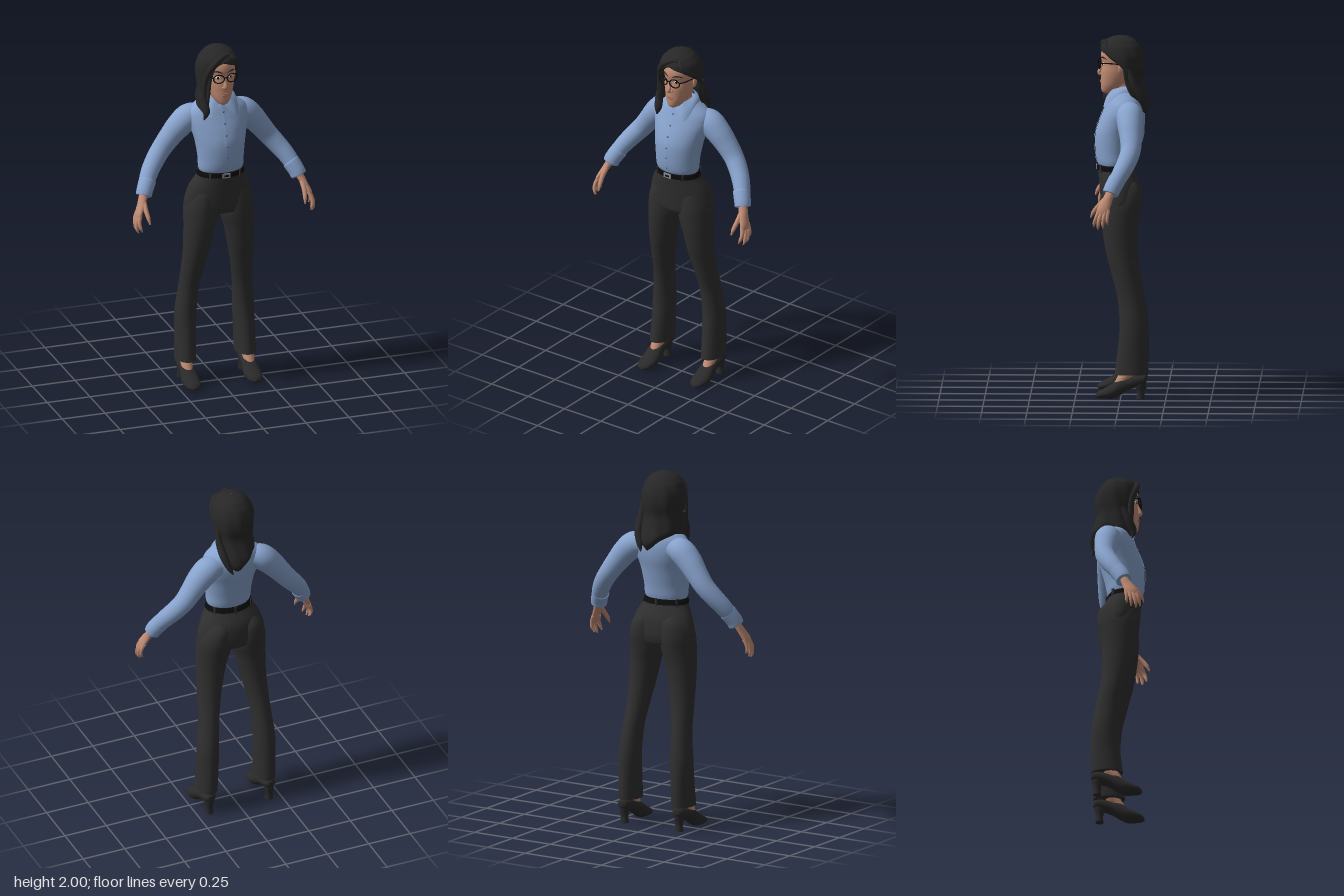
import * as THREE from 'three';

const V = (x, y, z) => new THREE.Vector3(x, y, z);
const mat = (name, color, side = THREE.FrontSide) =>
  Object.assign(new THREE.MeshStandardMaterial({ color, side }), { name });

// Catmull-Rom through table rows, t in 0..1
function sample(rows, t) {
  const n = rows.length - 1, i = Math.min(Math.floor(t * n), n - 1), f = t * n - i;
  const [a, b, c, d] = [-1, 0, 1, 2].map(k => rows[Math.min(n, Math.max(0, i + k))]);
  return b.map((p, k) => p + 0.5 * f * (c[k] - a[k] + f * (2 * a[k] - 5 * p + 4 * c[k] - d[k]
    + f * (3 * (p - c[k]) + d[k] - a[k]))));
}
// Table row for a key held in the first column (ascending)
function at(rows, key) {
  const n = rows.length - 1;
  let i = 0;
  while (i < n - 1 && rows[i + 1][0] < key) i++;
  const f = (key - rows[i][0]) / (rows[i + 1][0] - rows[i][0]);
  return sample(rows, Math.min(1, Math.max(0, (i + f) / n)));
}
// Grid surface from f(u, v); closed in u on request, with flat end caps
function grid(f, nu, nv, closed = true, caps = closed) {
  const pos = [], idx = [], w = closed ? nu : nu + 1;
  for (let j = 0; j <= nv; j++) for (let i = 0; i < w; i++) pos.push(...f(i / nu, j / nv).toArray());
  for (let j = 0; j < nv; j++) for (let i = 0; i < nu; i++) {
    const a = j * w + i, b = j * w + (i + 1) % w;
    idx.push(a, b, b + w, a, b + w, a + w);
  }
  if (caps) for (const v of [0, 1]) {
    const base = pos.length / 3, c = V(0, 0, 0);
    for (let i = 0; i < nu; i++) { const p = f(i / nu, v); c.addScaledVector(p, 1 / nu); pos.push(...p.toArray()); }
    pos.push(...c.toArray());
    for (let i = 0; i < nu; i++) {
      const a = base + i, b = base + (i + 1) % nu;
      v ? idx.push(a, b, base + nu) : idx.push(b, a, base + nu);
    }
  }
  const g = new THREE.BufferGeometry();
  g.setAttribute('position', new THREE.Float32BufferAttribute(pos, 3));
  g.setIndex(idx);
  g.computeVertexNormals();
  return g;
}
// Stacked ovals: rows of [y, centre x, half width, front z, back z]
const loft = (rows, nu = 32, nv = rows.length * 5) => grid((u, v) => {
  const [y, cx, hx, zf, zb] = sample(rows, v), a = u * Math.PI * 2;
  return V(cx + hx * Math.sin(a), y, (zf + zb) / 2 + (zf - zb) / 2 * Math.cos(a));
}, nu, nv);
// Round limb through [x, y, z, radius]
function limb(pts, nu = 20, nv = pts.length * 6) {
  const curve = new THREE.CatmullRomCurve3(pts.map(p => V(p[0], p[1], p[2])));
  const fr = curve.computeFrenetFrames(nv);
  return grid((u, v) => {
    const k = Math.round(v * nv), r = sample(pts, curve.getUtoTmapping(v))[3], a = u * Math.PI * 2;
    return curve.getPointAt(v).addScaledVector(fr.normals[k], r * Math.cos(a)).addScaledVector(fr.binormals[k], r * Math.sin(a));
  }, nu, nv);
}

export function createModel() {
  const root = new THREE.Group();
  root.name = 'woman';
  const skin = mat('skin', 0xc08b73), lip = mat('lips', 0xa5685a), white = mat('eyeWhite', 0xe6e0da);
  const hair = mat('hair', 0x272727, THREE.DoubleSide), shirt = mat('shirt', 0x88a3cd, THREE.DoubleSide);
  const button = mat('button', 0x60789f), cloth = mat('trousers', 0x2f2f2f), leather = mat('leather', 0x2a2a2a);
  const black = mat('frames', 0x0c0c0c), metal = mat('metal', 0x8791a0);
  const add = (name, geo, m, p = [0, 0, 0], ry = 0, s = [1, 1, 1]) => {
    const o = new THREE.Mesh(geo, m);
    o.name = name;
    o.position.set(...p);
    o.rotation.y = ry;
    o.scale.set(...s);
    root.add(o);
  };
  const ball = new THREE.SphereGeometry(1, 20, 14);

  // Shirt body, placket and buttons
  const torso = [[1.265, 0, .118, .118, -.048], [1.3, 0, .128, .134, -.06], [1.36, 0, .131, .143, -.072],
    [1.45, 0, .143, .143, -.095], [1.52, 0, .16, .124, -.115], [1.58, 0, .172, .1, -.122],
    [1.63, 0, .16, .08, -.116], [1.67, 0, .108, .066, -.1], [1.7, 0, .06, .05, -.08]];
  add('shirtBody', loft(torso, 40), shirt);
  add('placket', grid((u, v) => {
    const y = 1.29 + .36 * v;
    return V((u - .5) * .028, y, at(torso, y)[3] + .004 - .003 * Math.abs(u - .5));
  }, 4, 24, false), shirt);
  for (let i = 0; i < 6; i++) {
    const y = 1.32 + i * .062;
    add('shirtButton', ball, button, [0, y, at(torso, y)[3] + .005], 0, [.006, .006, .003]);
  }
  // Collar, falling from the neck to a point on each side
  const low = [[.008, 1.655, .083], [.08, 1.608, .092], [.1, 1.682, .01], [.085, 1.69, -.06], [0, 1.685, -.113]];
  const top = [[.006, 1.672, .068], [.045, 1.7, .052], [.064, 1.718, 0], [.05, 1.728, -.05], [0, 1.735, -.075]];
  add('collar', grid((u, v) => {
    const t = 1 - Math.abs(2 * u - 1), s = u < .5 ? 1 : -1;
    const p = V(...sample(low, t)).lerp(V(...sample(top, t)), v);
    p.x *= s;
    return p.add(V(s * .006 * Math.sin(v * Math.PI), .004 * Math.sin(v * Math.PI), 0));
  }, 48, 6, false), shirt);

  // Trousers and belt
  add('hips', loft([[1.03, 0, .17, .1, -.09], [1.05, 0, .189, .109, -.1], [1.1, 0, .195, .115, -.108], [1.18, 0, .173, .122, -.1],
    [1.25, 0, .134, .128, -.066], [1.288, 0, .123, .128, -.052]], 40), cloth);
  const belt = [[1.253, 0, .134, .131, -.067], [1.257, 0, .136, .134, -.068], [1.279, 0, .129, .134, -.059], [1.283, 0, .125, .13, -.055]];
  add('belt', loft(belt, 40), black);
  add('buckle', new THREE.BoxGeometry(.046, .026, .008), metal, [0, 1.268, .135]);
  add('bucklePlate', new THREE.BoxGeometry(.026, .01, .004), black, [0, 1.268, .139]);
  for (const a of [.7, 2.2, 3.14, 4.08, 5.58])
    add('beltLoop', new THREE.BoxGeometry(.012, .042, .008), cloth, [.135 * Math.sin(a), 1.267, .034 + .101 * Math.cos(a)], a);

  const fingers = [
    [[.492, 1.095, .105, .013], [.505, 1.05, .125, .011], [.5, 1.02, .135, .009], [.492, 1.0, .138, .004]],
    [[.497, 1.09, .09, .013], [.515, 1.04, .108, .011], [.514, 1.005, .114, .009], [.506, .987, .115, .004]],
    [[.499, 1.09, .073, .012], [.517, 1.045, .085, .01], [.516, 1.012, .088, .008], [.508, .995, .088, .004]],
    [[.497, 1.095, .058, .011], [.512, 1.055, .063, .009], [.512, 1.03, .064, .008], [.505, 1.014, .063, .003]],
    [[.462, 1.15, .075, .015], [.462, 1.11, .115, .013], [.457, 1.075, .142, .011], [.453, 1.045, .156, .004]]];

  for (const s of [1, -1]) {
    const side = s > 0 ? 'left' : 'right';
    const limbS = (pts, nu) => limb(pts.map(([x, y, z, r]) => [x * s, y, z, r]), nu);
    const loftS = rows => loft(rows.map(([y, x, ...r]) => [y, x * s, ...r]));
    // Leg, flaring slightly to the hem
    add(side + 'TrouserLeg', loftS([[.135, .175, .058, .032, -.145], [.25, .172, .058, .018, -.148], [.4, .169, .06, .005, -.143],
      [.55, .157, .056, .016, -.12], [.68, .143, .063, .048, -.095], [.8, .129, .073, .08, -.085], [.92, .116, .085, .1, -.088],
      [1.0, .104, .096, .108, -.1], [1.08, .1, .094, .109, -.113], [1.16, .09, .076, .1, -.105], [1.22, .08, .04, .07, -.05]]), cloth);
    // Sleeve and cuff
    add(side + 'Sleeve', limbS([[.09, 1.585, -.045, .06], [.155, 1.572, -.05, .073], [.21, 1.525, -.054, .07], [.26, 1.465, -.06, .062],
      [.31, 1.4, -.06, .056], [.355, 1.345, -.042, .053], [.4, 1.285, -.01, .049], [.44, 1.215, .032, .043]], 28), shirt);
    add(side + 'Cuff', limbS([[.416, 1.253, .01, .04], [.418, 1.25, .012, .048], [.445, 1.2, .039, .046], [.452, 1.178, .047, .044], [.453, 1.176, .048, .036]], 28), shirt);
    // Hand
    add(side + 'Palm', loftS([[1.06, .505, .006, .108, .07], [1.075, .502, .013, .12, .055], [1.1, .493, .018, .12, .049], [1.14, .474, .021, .1, .037], [1.175, .457, .025, .078, .025], [1.21, .44, .026, .065, .015]]), skin);
    fingers.forEach((f, i) => add(side + (i < 4 ? 'Finger' : 'Thumb'), limbS(f, 12), skin));
    // Shoe: lofted toe to heel, then turned to lie along z
    const shoe = loft([[-.145, 0, .012, -.095, -.125], [-.132, 0, .03, -.08, -.135], [-.09, 0, .037, -.066, -.135], [-.04, 0, .038, -.046, -.122],
      [0, 0, .044, -.02, -.114], [.04, 0, .05, 0, -.086], [.08, 0, .048, 0, -.062], [.118, 0, .036, -.002, -.042], [.137, 0, .012, -.008, -.024]]);
    shoe.rotateX(Math.PI / 2);
    add(side + 'Shoe', shoe, leather, [.18 * s, 0, 0]);
    add(side + 'Heel', loftS([[0, .18, .024, -.088, -.134], [.04, .18, .022, -.09, -.132], [.08, .18, .028, -.075, -.14], [.11, .18, .03, -.07, -.142]]), leather);
    add(side + 'Ankle', limbS([[.18, .07, .01, .03], [.18, .112, -.015, .032], [.177, .15, -.045, .036], [.175, .25, -.065, .036]]), skin);
    // Eye, brow, ear and spectacle half
    add(side + 'Eye', ball, white, [.037 * s, 1.843, .098], .5 * s, [.015, .008, .005]);
    add(side + 'Iris', ball, black, [.037 * s, 1.843, .102], .5 * s, [.0065, .0075, .003]);
    add(side + 'Brow', limbS([[.014, 1.872, .112, .002], [.04, 1.881, .103, .0045], [.066, 1.873, .08, .002]], 8), hair);
    add(side + 'Ear', ball, skin, [.087 * s, 1.822, -.002], .3 * s, [.01, .032, .02]);
    add(side + 'Rim', new THREE.TorusGeometry(.028, .0036, 8, 28), black, [.038 * s, 1.843, .12], .2 * s, [1.08, .86, 1]);
    add(side + 'Temple', limbS([[.066, 1.85, .114, .004], [.083, 1.852, .085, .0035], [.09, 1.85, .03, .003], [.09, 1.842, -.01, .003]], 8), black);
  }
  add('bridge', limb([[-.011, 1.847, .125, .003], [0, 1.851, .128, .003], [.011, 1.847, .125, .003]], 8), black);

  // Neck, head, nose and mouth
  add('neck', loft([[1.62, 0, .06, .055, -.07], [1.69, 0, .052, .055, -.062], [1.74, 0, .05, .048, -.062], [1.8, 0, .05, .04, -.06]]), skin);
  add('head', loft([[1.676, 0, .014, .095, .06], [1.688, 0, .036, .108, .01], [1.72, 0, .057, .113, -.03], [1.76, 0, .071, .113, -.06], [1.8, 0, .08, .112, -.08],
    [1.84, 0, .084, .106, -.09], [1.88, 0, .088, .113, -.095], [1.92, 0, .084, .104, -.09], [1.96, 0, .06, .07, -.065], [1.975, 0, .02, .03, -.03]]), skin);
  add('nose', limb([[0, 1.852, .1, .007], [0, 1.82, .112, .009], [0, 1.79, .121, .012], [0, 1.778, .114, .008]], 14), skin);
  for (const s of [1, -1]) add('nostril', ball, skin, [.011 * s, 1.785, .112], 0, [.008, .007, .009]);
  add('upperLip', ball, lip, [0, 1.747, .11], 0, [.023, .0045, .009]);
  add('lowerLip', ball, lip, [0, 1.739, .109], 0, [.019, .0055, .009]);

  // Hair shell: oval profile by height, hem height by angle (0 front, 90 left, 180 back)
  const profile = [[1.55, .085, .11, -.15], [1.6, .112, .135, -.158], [1.65, .12, .132, -.154], [1.7, .117, .122, -.137], [1.76, .114, .12, -.122],
    [1.83, .119, .12, -.13], [1.89, .119, .12, -.124], [1.94, .104, .112, -.104], [1.975, .074, .084, -.074], [1.993, .04, .045, -.04], [2, .001, .002, -.002]];
  const hem = [[0, 1.925], [20, 1.912], [50, 1.888], [75, 1.862], [92, 1.83], [106, 1.7], [125, 1.63], [155, 1.572], [180, 1.585], [210, 1.63],
    [250, 1.655], [275, 1.62], [298, 1.592], [311, 1.62], [321, 1.8], [335, 1.895], [360, 1.925]];
  add('hair', grid((u, v) => {
    const a = u * Math.PI * 2, h = at(hem, u * 360)[1];
    const y = 2 - (2 - h) * Math.pow(1 - v, 1.5);
    const [, hx, zf, zb] = at(profile, y);
    const wave = 1 + .02 * Math.sin(a * 9 + y * 16) * Math.min(1, (2 - y) * 8);
    const k = wave * (1 - .12 * Math.max(0, 1 - v / .05));
    return V(-.006 + hx * k * Math.sin(a), y, (zf + zb) / 2 + (zf - zb) / 2 * k * Math.cos(a));
  }, 120, 48, true, false), hair);
  // Loose locks sweeping from the side parting
  const locks = [
    [[.03, 1.965, .075, .012], [-.025, 1.953, .1, .017], [-.07, 1.91, .098, .018], [-.096, 1.84, .075, .016], [-.106, 1.75, .07, .012], [-.1, 1.68, .085, .005]],
    [[.03, 1.965, .07, .01], [.06, 1.94, .085, .014], [.088, 1.9, .06, .014], [.103, 1.86, .01, .012], [.105, 1.8, -.05, .008]],
    [[-.115, 1.78, .03, .014], [-.11, 1.7, .06, .022], [-.1, 1.64, .085, .02], [-.112, 1.595, .08, .004]],
    [[.1, 1.82, -.045, .014], [.1, 1.74, -.07, .02], [.09, 1.67, -.11, .022], [.065, 1.6, -.135, .016], [.05, 1.565, -.145, .004]]];
  for (const l of locks) add('hairLock', limb(l, 14), hair);
  return root;
}
